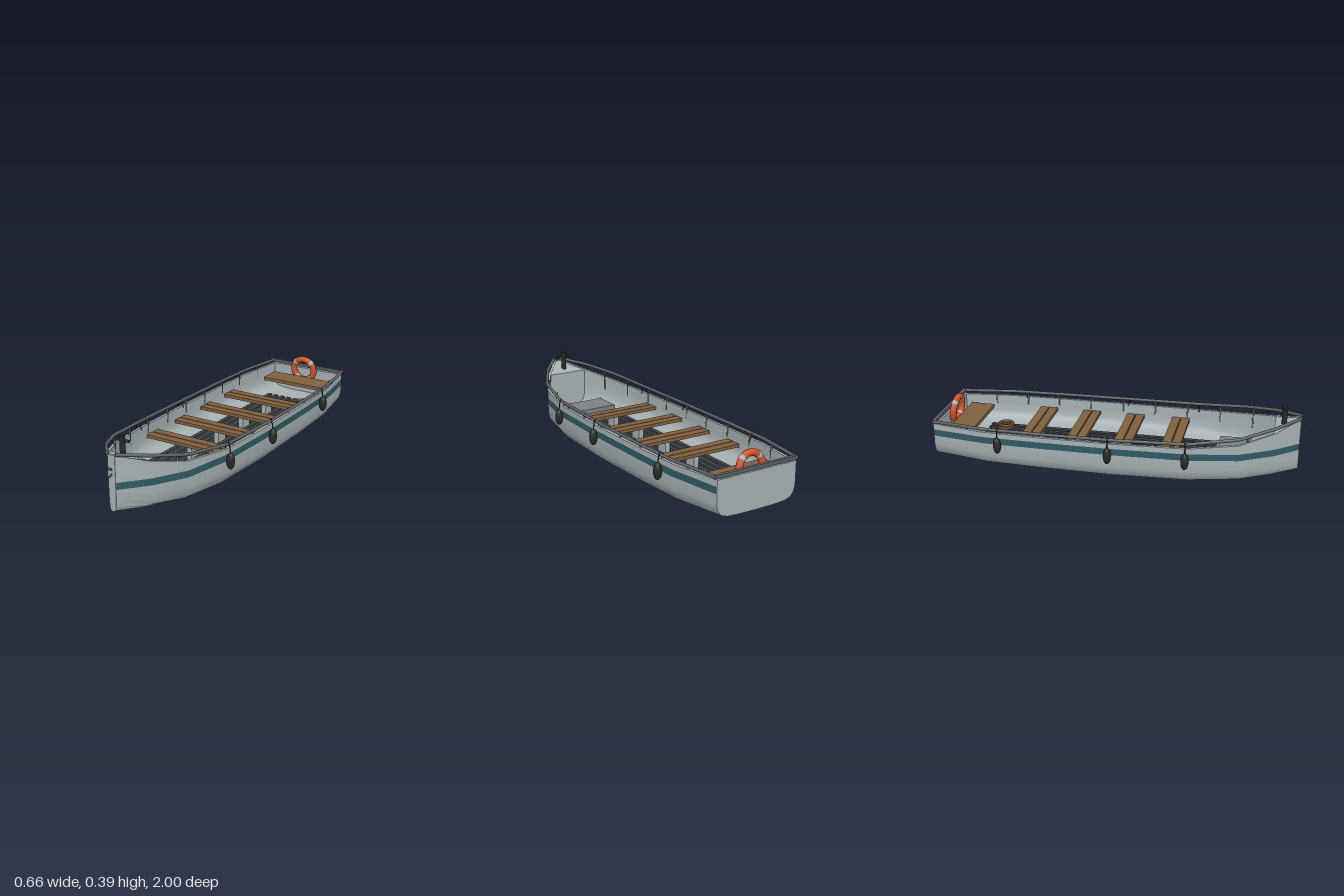
import * as THREE from 'three';
import { toCreasedNormals } from 'three/addons/utils/BufferGeometryUtils.js';

const mat = (name, color) => {
  const m = new THREE.MeshStandardMaterial({ color, side: THREE.DoubleSide });
  m.name = name;
  return m;
};

// Hull stations: z, half width, sheer height, keel height, rail height
const STATIONS = [
  [-0.995, 0.235, 0.220, 0.024, 0.235],
  [-0.70, 0.279, 0.215, 0.012, 0.235],
  [-0.40, 0.286, 0.214, 0.006, 0.236],
  [0.00, 0.288, 0.214, 0.003, 0.238],
  [0.40, 0.275, 0.217, 0.008, 0.245],
  [0.66, 0.225, 0.237, 0.016, 0.272],
  [0.83, 0.130, 0.276, 0.025, 0.305],
  [0.96, 0.021, 0.325, 0.035, 0.330],
];
// Half section from sheer to keel: fraction of half width, fraction of height
const SECTION = [[1, 1], [1, 0.7], [1, 0.38], [0.965, 0.21], [0.89, 0.09], [0.73, 0.025], [0.45, 0.006], [0, 0]];

// Station values at any z
function station(z) {
  let i = 0;
  while (i < STATIONS.length - 2 && z > STATIONS[i + 1][0]) i++;
  const a = STATIONS[i], b = STATIONS[i + 1], k = (z - a[0]) / (b[0] - a[0]);
  const [, w, top, keel, rail] = a.map((v, j) => v + (b[j] - v) * k);
  return { z, w, top, keel, rail };
}

// U-shaped outline from the +x sheer round the keel to the -x sheer
function outline(w, top, keel) {
  const half = SECTION.map(([u, v]) => [u * w, keel + v * (top - keel)]);
  return [...half, ...half.slice(0, -1).reverse().map(([x, y]) => [-x, y])];
}

// Skin between rows of [x, y, z] points
function loft(rows, closed = false) {
  const n = rows[0].length, index = [];
  for (let r = 0; r < rows.length - 1; r++) {
    for (let i = 0; i < (closed ? n : n - 1); i++) {
      const a = r * n + i, b = r * n + (i + 1) % n;
      index.push(a, b, a + n, b, b + n, a + n);
    }
  }
  const g = new THREE.BufferGeometry();
  g.setAttribute('position', new THREE.Float32BufferAttribute(rows.flat(2), 3));
  g.setIndex(index);
  return toCreasedNormals(g, 0.65);
}

// Solid plate with the hull's outline at a station
function sectionPlate(s, z, depth) {
  const shape = new THREE.Shape(outline(s.w, s.top, s.keel).map(p => new THREE.Vector2(...p)));
  return new THREE.ExtrudeGeometry(shape, { depth, bevelEnabled: false }).translate(0, 0, z);
}

export function createModel() {
  const boat = new THREE.Group();
  boat.name = 'boat';
  const hullGrey = mat('hullGrey', 0xa6b0b3);
  const teal = mat('stripeTeal', 0x2f5963);
  const railGrey = mat('railGrey', 0x5c6367);
  const panelGrey = mat('panelGrey', 0x788286);
  const slatGrey = mat('slatGrey', 0x3d4447);
  const wood = mat('wood', 0x80603f);
  const rope = mat('rope', 0x66452a);
  const orange = mat('buoyOrange', 0xd2532c);
  const black = mat('black', 0x272829);

  const add = (name, geo, material, x = 0, y = 0, z = 0, parent = boat) => {
    const m = new THREE.Mesh(geo, material);
    m.name = name;
    m.position.set(x, y, z);
    parent.add(m);
    return m;
  };
  const box = (name, w, h, d, material, x, y, z) => add(name, new THREE.BoxGeometry(w, h, d), material, x, y, z);
  const tube = (points, r, segments) => new THREE.TubeGeometry(
    points.length > 3 ? polyline(points) : new THREE.CatmullRomCurve3(points), segments, r, 8);
  function polyline(points) {
    const path = new THREE.CurvePath();
    for (let i = 1; i < points.length; i++) path.add(new THREE.LineCurve3(points[i - 1], points[i]));
    return path;
  }

  // Hull shell: outer skin, sheer edge and inner skin in one closed section
  const rows = STATIONS.map(([z]) => {
    const s = station(z);
    const outer = outline(s.w, s.top, s.keel);
    const inner = outline(Math.max(s.w - 0.016, 0.006), s.top, 0.065).reverse();
    return [...outer, ...inner].map(([x, y]) => [x, y, z]);
  });
  add('hull', loft(rows, true), hullGrey);
  add('transom', sectionPlate(station(-0.995), -0.997, 0.022), hullGrey);
  add('stem', sectionPlate(station(0.96), 0.95, 0.012), hullGrey);

  // Foredeck and the bulkhead beneath it
  const bow = station(0.83);
  add('bowBulkhead', sectionPlate({ w: bow.w - 0.01, top: bow.top - 0.004, keel: 0.06 }, 0.825, 0.006), hullGrey);
  add('foredeck', loft([0.826, 0.955].map(z => {
    const s = station(z);
    return [[s.w - 0.004, s.top - 0.003, z], [-s.w + 0.004, s.top - 0.003, z]];
  })), hullGrey);

  for (const side of [1, -1]) {
    // Painted stripe
    add('stripe', loft(STATIONS.map(([z, w]) => [[side * (w + 0.003), 0.152, z], [side * (w + 0.003), 0.188, z]])), teal);

    // Hand rail on short posts
    const railPoints = STATIONS.map(([z, w, , , y]) => new THREE.Vector3(side * Math.max(w + 0.003, 0.014), y, z));
    add('rail', tube(railPoints, 0.009, 80), railGrey);
    for (let i = 0; i < 9; i++) {
      const s = station(0.7 - i * 0.187);
      add('railPost', new THREE.CylinderGeometry(0.006, 0.006, s.rail - 0.165, 8), railGrey,
        side * (s.w - 0.012), (s.rail + 0.165) / 2, s.z);
    }

    // Fenders hung from the rail
    for (const z of [0.39, -0.015, -0.615]) {
      const s = station(z), x = side * (s.w + 0.021);
      add('fender', new THREE.SphereGeometry(1, 20, 14), black, x, 0.155, z).scale.set(0.022, 0.046, 0.021);
      add('fenderLine', tube([
        new THREE.Vector3(x, 0.195, z),
        new THREE.Vector3(side * (s.w + 0.007), s.rail + 0.011, z),
        new THREE.Vector3(side * (s.w - 0.018), 0.205, z),
      ], 0.003, 12), black);
    }
  }
  box('sternRail', 0.49, 0.018, 0.018, railGrey, 0, 0.235, -0.989);

  // Floor slats
  for (let i = 0; i < 8; i++) box('floorSlat', 0.024, 0.014, 1.31, slatGrey, (i - 3.5) * 0.044, 0.071, -0.145);

  // Thwarts of two planks on a centre leg
  for (const z of [-0.483, -0.227, 0.03, 0.29]) {
    for (const off of [-0.0265, 0.0265]) box('thwart', 0.524, 0.018, 0.047, wood, 0, 0.151, z + off);
    box('thwartLeg', 0.03, 0.08, 0.07, hullGrey, 0, 0.104, z);
  }
  box('sternBench', 0.405, 0.02, 0.137, wood, 0, 0.167, -0.867);
  box('bowLocker', 0.312, 0.05, 0.17, panelGrey, 0, 0.09, 0.613);

  // Coil of rope on the floor
  for (let i = 0; i < 2; i++) {
    add('ropeCoil', new THREE.TorusGeometry(0.041 - i * 0.004, 0.009, 8, 28), rope, 0.112, 0.087 + i * 0.014, -0.7)
      .rotation.x = Math.PI / 2;
  }

  // Life ring with four bands
  const ring = new THREE.Group();
  ring.name = 'lifeRing';
  ring.position.set(0, 0.222, -0.945);
  ring.rotation.x = 0.12;
  boat.add(ring);
  add('lifeRingBody', new THREE.TorusGeometry(0.068, 0.018, 12, 36), orange, 0, 0, 0, ring);
  for (let i = 0; i < 4; i++) {
    const band = new THREE.TorusGeometry(0.068, 0.0195, 12, 4, 0.24);
    add('lifeRingBand', band, hullGrey, 0, 0, 0, ring).rotation.z = Math.PI / 4 + i * Math.PI / 2 - 0.12;
  }

  // Mooring post and bow ring
  add('mooringPost', new THREE.CylinderGeometry(0.014, 0.014, 0.11, 16), black, 0, 0.335, 0.873);
  add('mooringBar', new THREE.CylinderGeometry(0.007, 0.007, 0.082, 12), black, 0, 0.37, 0.873).rotation.z = Math.PI / 2;
  add('bowRing', new THREE.TorusGeometry(0.0195, 0.004, 8, 24), railGrey, 0, 0.24, 0.977).rotation.y = Math.PI / 2;

  return boat;
}
